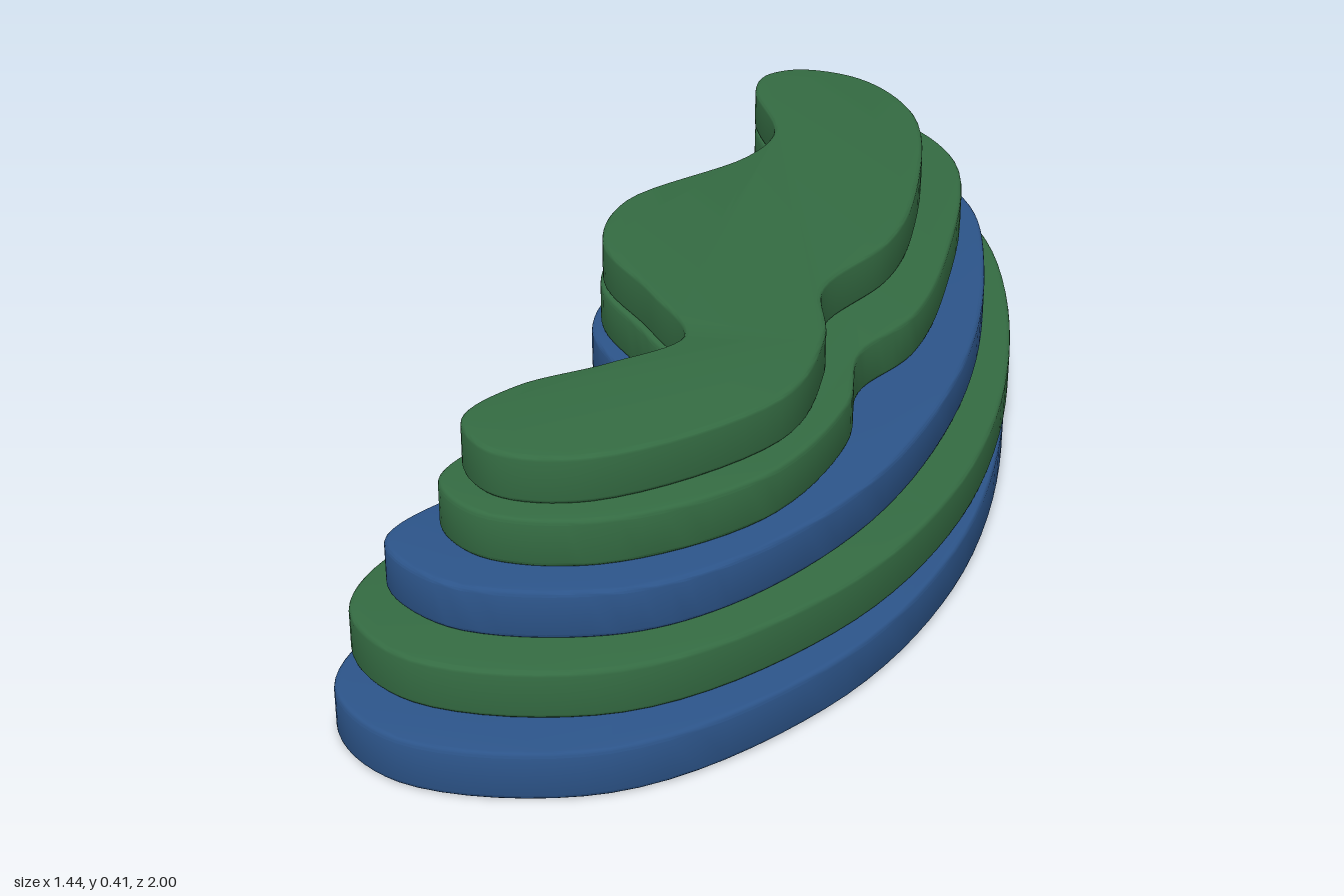
import * as THREE from 'three';
import { toCreasedNormals } from 'three/addons/utils/BufferGeometryUtils.js';

const GREEN = 0x346b42;
const BLUE = 0x2c5489;
const THICKNESS = 0.083;

// Footprint [x, z] of the two lowest layers, from the back tip round the outer side and the bays
const baseOutline = [
  [.42, -.915], [.53, -.88], [.65, -.66], [.685, -.4], [.57, .1], [.34, .55], [.04, .85],
  [-.33, .998], [-.64, .905], [-.717, .74], [-.61, .57], [-.35, .5], [-.08, .42], [-.07, .25],
  [-.15, -.03], [-.07, -.2], [.22, -.34], [.265, -.5], [.265, -.75], [.33, -.885],
];

// Bay side shared by the three upper layers
const upperBay = [
  [-.22, .39], [-.08, .32], [-.1, .14], [-.145, -.08], [-.07, -.265], [.2, -.43], [.285, -.55], [.3, -.78],
];

// Bay with its middle headland pushed out to the right
const bay = (bulge) => upperBay.map(([x, z]) => [x - bulge * Math.exp(-(((z - 0.05) / 0.14) ** 2)), z]);

const layers = [
  { name: 'bottomLayer', color: BLUE, outline: baseOutline },
  { name: 'secondLayer', color: GREEN, outline: baseOutline.map(([x, z]) => [x + 0.035, z - 0.085]) },
  { name: 'thirdLayer', color: BLUE, outline: [
    [.36, -.9], [.47, -.92], [.57, -.84], [.678, -.52], [.62, -.2], [.45, .21], [.18, .58],
    [-.1, .78], [-.3, .825], [-.54, .75], [-.617, .6], [-.5, .49], ...bay(0.055)] },
  { name: 'fourthLayer', color: GREEN, outline: [
    [.36, -.87], [.47, -.88], [.6, -.76], [.655, -.52], [.5, -.07], [.37, .16], [.24, .28],
    [.17, .46], [-.02, .67], [-.3, .752], [-.48, .69], [-.525, .57], [-.42, .46], ...bay(0.012)] },
  { name: 'topLayer', color: GREEN, outline: [
    [.34, -.86], [.42, -.88], [.53, -.8], [.583, -.58], [.46, -.16], [.36, .02], [.2, .18],
    [.155, .36], [.03, .57], [-.3, .7], [-.45, .65], [-.48, .53], [-.38, .44], ...bay(0)] },
];

// Smooth slab with softly rounded rims
function slab(outline, y) {
  const curve = new THREE.CatmullRomCurve3(
    outline.map(([x, z]) => new THREE.Vector3(x, -z, 0)), true, 'centripetal');
  const points = curve.getPoints(outline.length * 8).slice(0, -1);
  const shape = new THREE.Shape(points.map((p) => new THREE.Vector2(p.x, p.y)));
  const bevel = 0.008;
  const geometry = new THREE.ExtrudeGeometry(shape, {
    depth: THICKNESS - 2 * bevel,
    bevelThickness: bevel, bevelSize: bevel, bevelOffset: -bevel, bevelSegments: 3,
  });
  geometry.rotateX(-Math.PI / 2);
  geometry.translate(0, y + bevel, 0);
  return toCreasedNormals(geometry, 0.7);
}

export function createModel() {
  const model = new THREE.Group();
  model.name = 'terracedIsland';
  layers.forEach(({ name, color, outline }, i) => {
    const mesh = new THREE.Mesh(slab(outline, i * THICKNESS), new THREE.MeshStandardMaterial({ color }));
    mesh.name = name;
    model.add(mesh);
  });
  return model;
}
